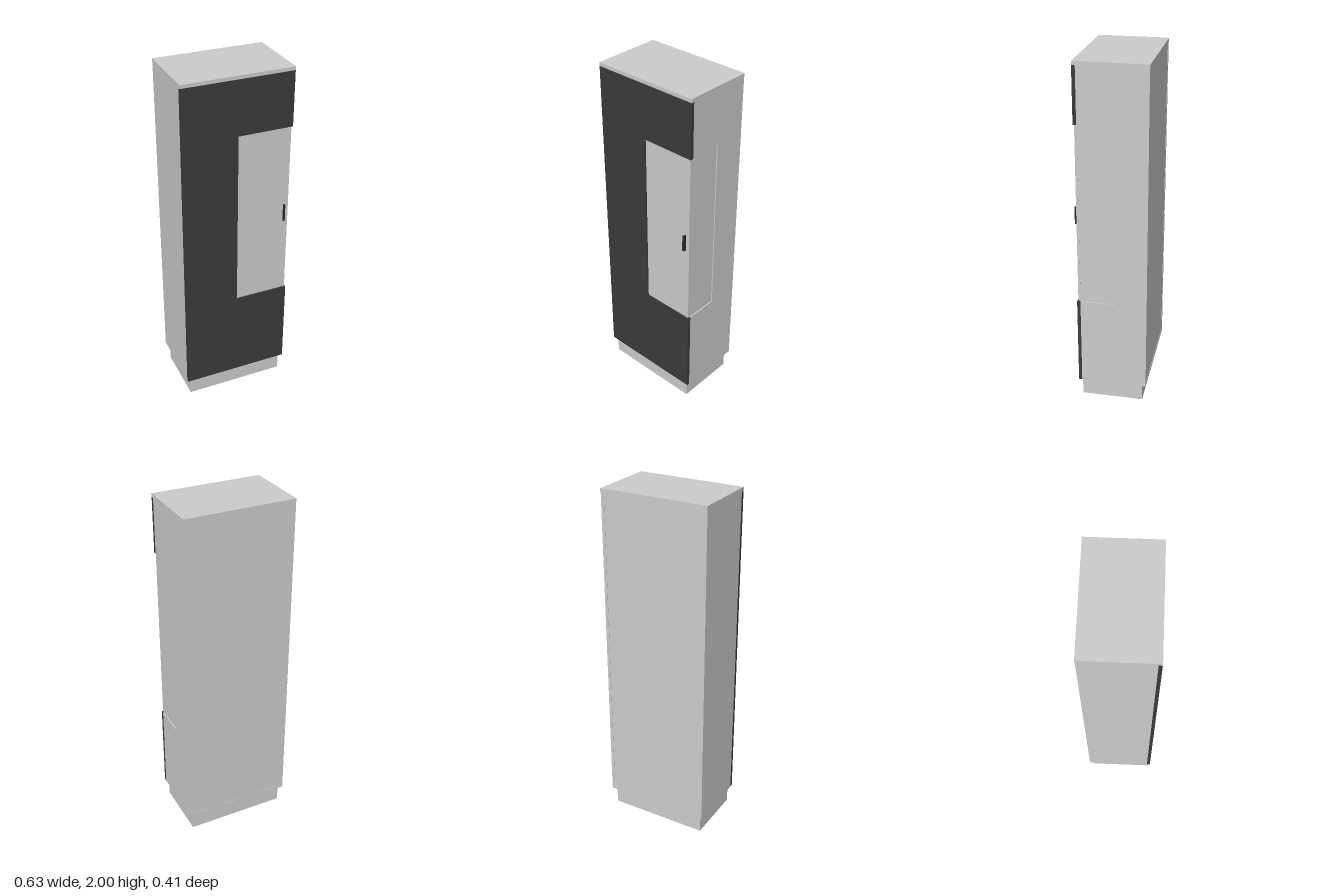
import * as THREE from 'three';

export function createModel() {
  const model = new THREE.Group();
  const grey = new THREE.MeshStandardMaterial({ color: 0xcccccc });
  const dark = new THREE.MeshStandardMaterial({ color: 0x3b3b3b });
  const black = new THREE.MeshStandardMaterial({ color: 0x2a2a2a });

  // Box given by its extents on each axis
  function box(name, [x0, x1], [y0, y1], [z0, z1], material = grey, parent = model) {
    const mesh = new THREE.Mesh(new THREE.BoxGeometry(x1 - x0, y1 - y0, z1 - z0), material);
    mesh.position.set((x0 + x1) / 2, (y0 + y1) / 2, (z0 + z1) / 2);
    mesh.name = name;
    parent.add(mesh);
    return mesh;
  }

  const W = 0.314, T = 0.018;           // half width, board thickness
  const bottom = 0.108, top = 1.98;     // carcass height range
  const winLow = 0.634, winHigh = 1.668, winBack = -0.014;
  const back = -0.203, face = 0.175, front = 0.194;

  // Plinth and top board
  box('plinth', [-0.294, 0.294], [0, bottom], [-0.18, face]);
  box('topBoard', [-0.315, 0.315], [top, 2], [-0.205, front]);

  // Carcass
  box('rightSide', [-W, -W + T], [bottom, top], [back, face]);
  box('floorBoard', [-W + T, W - T], [bottom, bottom + T], [back, face]);
  box('ceilingBoard', [-W + T, W - T], [top - T, top], [back, face]);
  box('backPanel', [-W + T, W - T], [bottom + T, top - T], [back + 0.002, back + 0.01]);

  // Left side, notched at the front for the side window
  const side = new THREE.Shape([
    [back, bottom], [face, bottom], [face, winLow], [winBack, winLow],
    [winBack, winHigh], [face, winHigh], [face, top], [back, top],
  ].map(([z, y]) => new THREE.Vector2(-z, y)));
  const leftSide = new THREE.Mesh(
    new THREE.ExtrudeGeometry(side, { depth: T, bevelEnabled: false }), grey);
  leftSide.rotation.y = Math.PI / 2;
  leftSide.position.x = W - T;
  leftSide.name = 'leftSide';
  model.add(leftSide);

  // Panes of the corner display
  box('sidePane', [W - T, W - 0.007], [winLow, winHigh], [winBack, face]);
  box('glassDoor', [0.001, W - 0.006], [winLow + 0.001, winHigh - 0.001], [face, 0.188]);

  // Dark front panels
  const gap = 0.001;
  box('lowerDoor', [-W, W], [bottom, winLow - gap], [face, front], dark);
  box('upperDoor', [-W, W], [winHigh + gap, top - gap], [face, front], dark);
  box('middlePanel', [-W, 0], [winLow + gap, winHigh - gap], [face, front], dark);

  // L-shaped pull
  const handle = new THREE.Group();
  handle.name = 'handle';
  box('handleStem', [0.279, 0.285], [1.1, 1.2], [0.188, 0.203], black, handle);
  box('handleGrip', [0.272, 0.279], [1.1, 1.2], [0.199, 0.203], black, handle);
  model.add(handle);

  return model;
}
